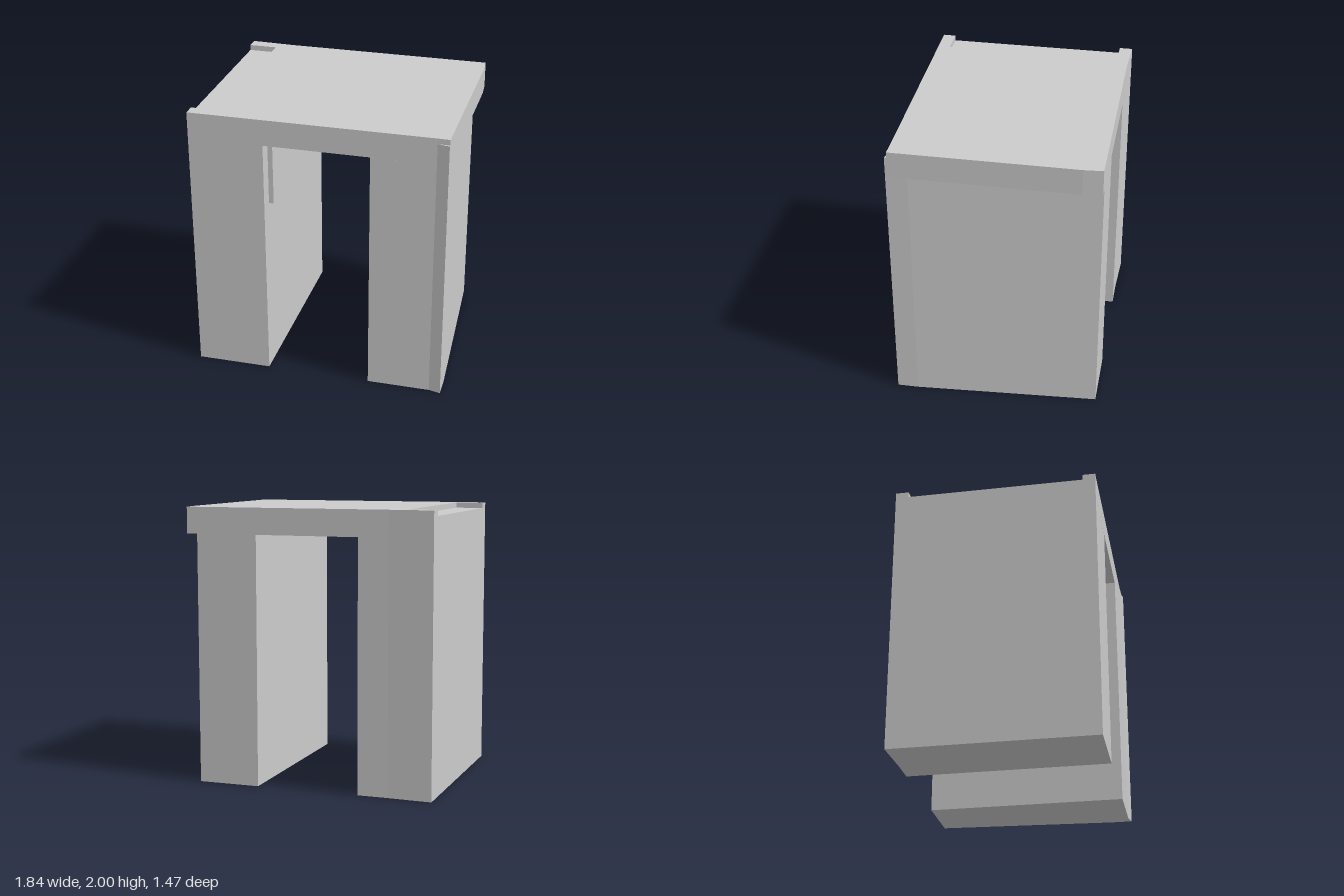
import * as THREE from 'three';

const material = new THREE.MeshStandardMaterial({ color: 0xcccccc, flatShading: true });

// Upright prism from a plan outline of [x, z] corners
function prism(name, outline, y0, y1) {
  const shape = new THREE.Shape(outline.map(([x, z]) => new THREE.Vector2(x, -z)));
  const geometry = new THREE.ExtrudeGeometry(shape, { depth: y1 - y0, bevelEnabled: false });
  geometry.rotateX(-Math.PI / 2).translate(0, y0, 0);
  const mesh = new THREE.Mesh(geometry, material);
  mesh.name = name;
  return mesh;
}

export function createModel() {
  const group = new THREE.Group();
  group.name = 'table';

  const underside = 1.81, ledge = 1.96, top = 2;
  const backEdge = [[0.915, -0.6], [0.905, -0.735], [-0.6, -0.725], [-0.92, -0.735]];

  // Lower slab, with the flared front corner
  group.add(prism('topSlab', [
    [-0.92, 0.73], [0.83, 0.712], [0.915, 0.73], ...backEdge,
  ], underside, ledge));

  // Upper layer, with a shallow recess open at one side
  group.add(prism('recessedTop', [
    [-0.92, 0.73], [0.83, 0.712], [0.915, 0.714], ...backEdge,
    [-0.92, -0.64], [-0.715, -0.64], [-0.715, 0.64], [-0.92, 0.64],
  ], ledge, top));

  // Left leg, its outer face tapering inwards towards the back
  group.add(prism('leftLeg', [
    [0.375, 0.717], [0.83, 0.712], [0.915, 0.73], [0.914, 0.58],
    [0.827, -0.734], [0.375, -0.731],
  ], 0, underside));

  // Right leg
  group.add(prism('rightLeg', [
    [-0.92, 0.73], [-0.38, 0.724], [-0.38, -0.726], [-0.6, -0.725], [-0.92, -0.735],
  ], 0, underside));

  // Raised panel on the inner face of the right leg
  group.add(prism('innerPanel', [
    [-0.39, 0.62], [-0.345, 0.62], [-0.345, -0.62], [-0.39, -0.62],
  ], 1.32, underside));

  return group;
}
